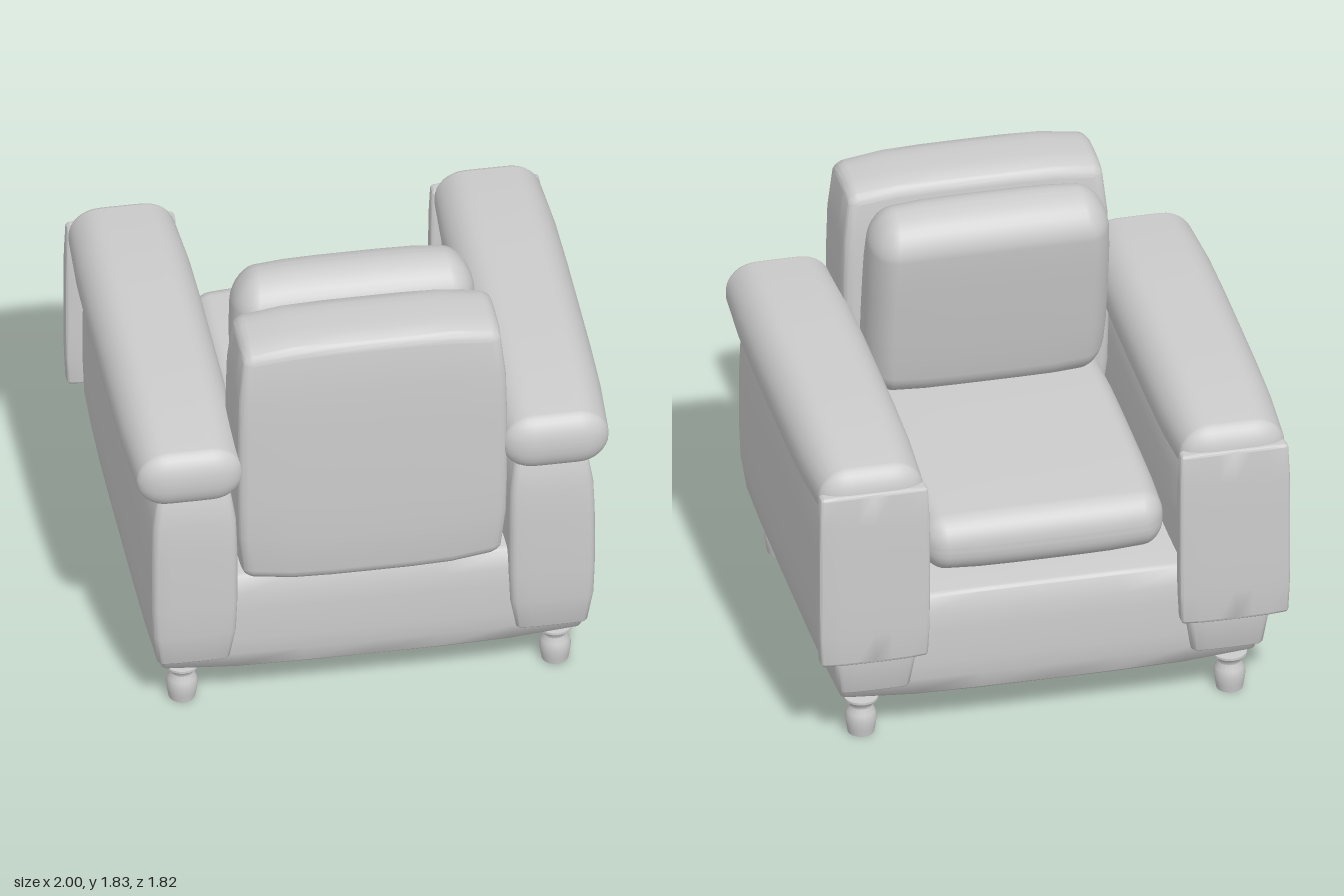
import * as THREE from 'three';
import { mergeVertices, toCreasedNormals } from 'three/addons/utils/BufferGeometryUtils.js';

const grey = new THREE.MeshStandardMaterial({ color: 0xcccccc });
grey.name = 'grey upholstery';

const ROUND = 4, FLAT = 6, SEGS = 2 * ROUND + FLAT;

// Rounded, bulging block between two corners. radii: rounding along x, y, z.
// taper[a][b]: how far the sides across axis a draw in towards the ends of axis b.
function padded(name, min, max, radii, taper, crease) {
  const half = max.map((m, i) => (m - min[i]) / 2);
  const mid = max.map((m, i) => (m + min[i]) / 2);
  let geo = new THREE.BoxGeometry(1, 1, 1, SEGS, SEGS, SEGS);
  geo.deleteAttribute('uv');
  geo.deleteAttribute('normal');
  const pos = geo.attributes.position;
  for (let i = 0; i < pos.count; i++) {
    const grid = [pos.getX(i), pos.getY(i), pos.getZ(i)].map((t) => Math.round((t + 0.5) * SEGS) - SEGS / 2);
    const inner = grid.map((g) => THREE.MathUtils.clamp(g / (FLAT / 2), -1, 1));
    const out = grid.map((g) =>
      Math.tan((Math.sign(g) * Math.max(0, Math.abs(g) - FLAT / 2) / ROUND) * Math.PI / 4));
    const len = Math.hypot(...out);
    const p = half.map((h, a) => inner[a] * (h - radii[a]) + (out[a] / len) * radii[a]);
    const n = p.map((v, a) => v / half[a]);
    const q = p.map((v, a) => {
      let draw = 0;
      for (let b = 0; b < 3; b++) draw += taper[a][b] * Math.abs(n[b]) ** 4;
      return v - n[a] * draw + mid[a];
    });
    pos.setXYZ(i, ...q);
  }
  geo = mergeVertices(geo, 1e-5);
  if (crease) geo = toCreasedNormals(geo, crease);
  else geo.computeVertexNormals();
  const mesh = new THREE.Mesh(geo, grey);
  mesh.name = name;
  return mesh;
}

// Turned foot
function foot(x, z) {
  const profile = [[0, 0], [0.055, 0], [0.06, 0.03], [0.066, 0.07], [0.06, 0.1], [0.047, 0.125],
    [0.05, 0.14], [0.072, 0.16], [0.072, 0.17], [0, 0.17]].map(([r, y]) => new THREE.Vector2(r, y));
  const geo = toCreasedNormals(new THREE.LatheGeometry(profile, 20), 0.7);
  const mesh = new THREE.Mesh(geo, grey);
  mesh.name = 'foot';
  mesh.position.set(x, 0, z);
  return mesh;
}

// One arm with its padded roll, side panel and front plate; s is the side
function arm(s) {
  const group = new THREE.Group();
  group.name = s > 0 ? 'leftArm' : 'rightArm';
  const block = (name, x0, x1, y0, y1, z0, z1, radii, taper, crease) => {
    const [a, b] = s > 0 ? [x0, x1] : [-x1, -x0];
    group.add(padded(name, [a, y0, z0], [b, y1, z1], radii, taper, crease));
  };
  block('armRoll', 0.52, 1.0, 1.045, 1.357, -0.895, 0.907, [0.14, 0.145, 0.06],
    [[0, 0, 0.025], [0.01, 0, 0.035], [0.01, 0.01, 0]]);
  block('armPanel', 0.555, 0.93, 0.25, 1.12, -0.865, 0.89, [0.03, 0.012, 0.03],
    [[0, 0.03, 0.01], [0, 0, 0], [0.008, 0.025, 0]], 0.7);
  block('armFrontPlate', 0.525, 0.99, 0.425, 1.235, -0.912, -0.828, [0.015, 0.015, 0.015],
    [[0, 0.008, 0], [0.006, 0, 0], [0.006, 0.008, 0]], 0.7);
  return group;
}

export function createModel() {
  const model = new THREE.Group();
  model.name = 'armchair';

  // Base frame carrying seat, back and arms
  model.add(padded('baseFrame', [-0.9, 0.163, -0.815], [0.9, 0.66, 0.855], [0.02, 0.015, 0.02],
    [[0, 0.025, 0.01], [0.022, 0, 0.008], [0.015, 0.03, 0]], 0.7));

  // Backrest
  model.add(padded('backrest', [-0.562, 0.595, 0.5], [0.562, 1.822, 0.877], [0.04, 0.035, 0.03],
    [[0, 0.03, 0.006], [0.035, 0, 0.03], [0.01, 0.02, 0]], 0.7));

  // Seat cushion
  model.add(padded('seatCushion', [-0.515, 0.69, -0.772], [0.515, 0.965, 0.55], [0.09, 0.12, 0.1],
    [[0, 0, 0.015], [0.015, 0, 0.015], [0.02, 0, 0]]));

  // Loose back cushion, leaning
  const cushion = padded('backCushion', [-0.51, -0.46, -0.168], [0.51, 0.46, 0.168], [0.1, 0.14, 0.15],
    [[0, 0.03, 0], [0.03, 0, 0], [0.02, 0.02, 0]]);
  cushion.position.set(0, 1.37, 0.375);
  cushion.rotation.x = -0.17;
  model.add(cushion);

  for (const s of [1, -1]) {
    model.add(arm(s));
    for (const z of [0.74, -0.72]) model.add(foot(s * 0.775, z));
  }
  return model;
}
